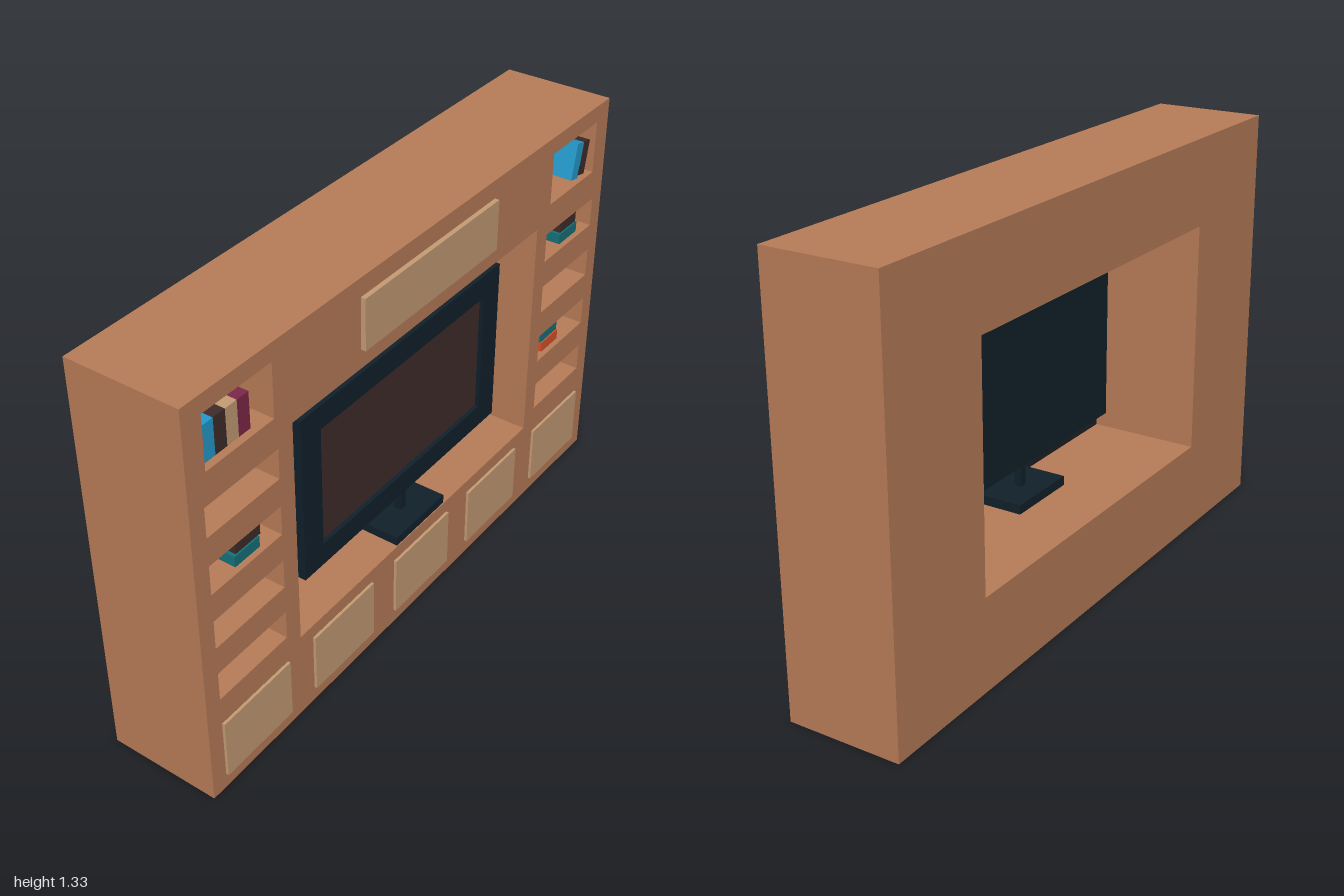
import * as THREE from 'three';

const mat = (color) => new THREE.MeshStandardMaterial({ color });
const M = {
  wood: mat(0xb87c58), panel: mat(0xc49c74), dark: mat(0x11202a), screen: mat(0x3f2c29),
  blue: mat(0x2499cc), teal: mat(0x15727a), orange: mat(0xd2522a), wine: mat(0x7c2848), brown: mat(0x3f2c29),
};

// Rectangle on the z-y face; shape coordinate u is -z
function rect(z0, z1, y0, y1, Type = THREE.Shape) {
  const s = new Type();
  s.moveTo(-z1, y0);
  s.lineTo(-z0, y0);
  s.lineTo(-z0, y1);
  s.lineTo(-z1, y1);
  s.closePath();
  return s;
}

export function createModel() {
  const root = new THREE.Group();
  root.name = 'mediaWall';

  const add = (name, geo, material, parent = root) => {
    const mesh = new THREE.Mesh(geo, material);
    mesh.name = name;
    parent.add(mesh);
    return mesh;
  };
  const box = (name, x0, x1, y0, y1, z0, z1, material, parent) => {
    const mesh = add(name, new THREE.BoxGeometry(x1 - x0, y1 - y0, z1 - z0), material, parent);
    mesh.position.set((x0 + x1) / 2, (y0 + y1) / 2, (z0 + z1) / 2);
    return mesh;
  };
  // Slab facing +x with rectangular holes
  const slab = (name, x0, x1, outline, holes, material, parent) => {
    const shape = rect(...outline);
    holes.forEach((h) => shape.holes.push(rect(...h, THREE.Path)));
    const geo = new THREE.ExtrudeGeometry(shape, { depth: x1 - x0, bevelEnabled: false });
    geo.rotateY(Math.PI / 2).translate(x0, 0, 0);
    return add(name, geo, material, parent);
  };

  // Cabinet: solid back slab, front slab pierced by shelf niches
  const outer = [-1, 1, 0, 1.325];
  const opening = [-0.6, 0.6, 0.295, 1.045];
  const niches = [];
  for (const side of [1, -1]) {
    const column = (a, b, y0, y1) => niches.push(side > 0 ? [a, b, y0, y1] : [-b, -a, y0, y1]);
    column(0.67, 0.93, 1.1, 1.27);
    for (let i = 0; i < 4; i++) column(0.66, 0.945, 0.342 + i * 0.187, 0.438 + i * 0.187);
  }
  slab('cabinetBack', -0.19, -0.08, outer, [opening], M.wood);
  slab('cabinetFront', -0.08, 0.173, outer, [opening, ...niches], M.wood);

  // Drawer fronts and upper door
  for (let i = -2; i <= 2; i++) {
    box('drawerFront', 0.165, 0.182, 0.05, 0.25, i * 0.4 - 0.14, i * 0.4 + 0.145, M.panel);
  }
  box('upperDoor', 0.165, 0.188, 1.105, 1.267, -0.34, 0.305, M.panel);

  // Television on its stand
  const tv = new THREE.Group();
  tv.name = 'television';
  root.add(tv);
  slab('bezel', 0.09, 0.11, [-0.495, 0.492, 0.395, 0.955], [[-0.41, 0.405, 0.47, 0.877]], M.dark, tv);
  box('backCover', 0.075, 0.09, 0.395, 0.955, -0.495, 0.492, M.dark, tv);
  box('screen', 0.088, 0.096, 0.47, 0.877, -0.41, 0.405, M.screen, tv);
  box('neck', 0.08, 0.105, 0.32, 0.4, -0.012, 0.012, M.dark, tv);
  box('standBase', 0.01, 0.17, 0.295, 0.325, -0.125, 0.125, M.dark, tv);

  // Upright books, left column
  const books = new THREE.Group();
  books.name = 'books';
  root.add(books);
  [M.blue, M.brown, M.panel, M.wine].forEach((m, i) => {
    const z = 0.91 - i * 0.044;
    box('uprightBook', 0.01, 0.15, 1.1, 1.212, z - 0.044, z, m, books);
  });

  // Leaning books, right column
  [[-0.859, 1.161, 0.118, M.blue], [-0.897, 1.158, 0.11, M.brown]].forEach(([z, y, h, m]) => {
    const b = box('leaningBook', 0.01, 0.155, y - h / 2, y + h / 2, z - 0.02, z + 0.02, m, books);
    b.rotation.x = -0.22;
  });

  // Flat stacks: [floor y, lower z range, lower material, upper z range, upper material]
  [
    [0.716, [0.73, 0.83], M.teal, [0.72, 0.82], M.brown],
    [0.903, [-0.885, -0.78], M.teal, [-0.885, -0.79], M.brown],
    [0.529, [-0.815, -0.715], M.orange, [-0.815, -0.715], M.teal],
  ].forEach(([y, a, ma, b, mb]) => {
    box('flatBook', 0.01, 0.155, y, y + 0.035, ...a, ma, books);
    box('flatBook', 0.01, 0.15, y + 0.035, y + 0.072, ...b, mb, books);
  });

  return root;
}
